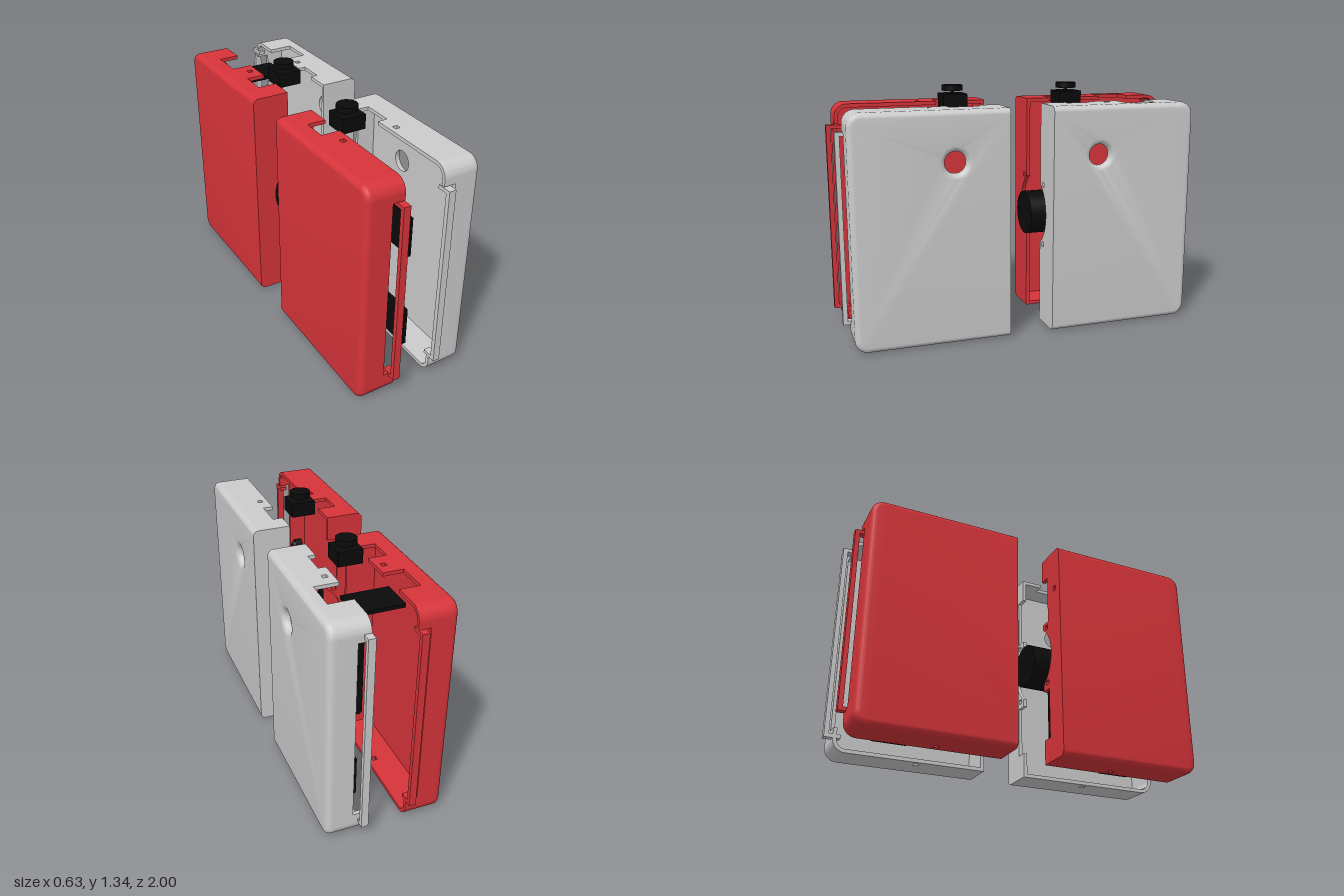
import * as THREE from 'three';
import { toCreasedNormals } from 'three/addons/utils/BufferGeometryUtils.js';

const grey = new THREE.MeshStandardMaterial({ color: 0xcccccc });
const red = new THREE.MeshStandardMaterial({ color: 0xd6343a });
const black = new THREE.MeshStandardMaterial({ color: 0x0a0a0a });

const XI = 0.11, XW = 0.275;        // open rim and back of the side panel
const Y0 = 0.005, Y1 = 1.245;       // height range of a shell
const T = 0.02, R = 0.07, B = 0.03; // wall, corner radius, edge fillet

function add(parent, name, geo, mat, x = 0, y = 0, z = 0) {
  const m = new THREE.Mesh(geo, mat);
  m.name = name;
  m.position.set(x, y, z);
  parent.add(m);
  return m;
}

// box given by its ranges
function box(parent, name, mat, x0, x1, y0, y1, z0, z1) {
  return add(parent, name, new THREE.BoxGeometry(x1 - x0, y1 - y0, z1 - z0), mat,
    (x0 + x1) / 2, (y0 + y1) / 2, (z0 + z1) / 2);
}

function cyl(parent, name, r, h, x, y, z, axis) {
  const g = new THREE.CylinderGeometry(r, r, h, 40);
  if (axis === 'z') g.rotateX(Math.PI / 2);
  if (axis === 'x') g.rotateZ(Math.PI / 2);
  return add(parent, name, g, black, x, y, z);
}

const extrude = (shape, depth) =>
  new THREE.ExtrudeGeometry(shape, { depth, bevelEnabled: false, curveSegments: 16 });

function squareHole(shape, x, y, s = 0.014) {
  shape.holes.push(new THREE.Path([[-s, -s], [s, -s], [s, s], [-s, s]]
    .map(([a, b]) => new THREE.Vector2(x + a, y + b))));
}

function roundHole(shape, x, y, r) {
  shape.holes.push(new THREE.Path().absarc(x, y, r, 0, Math.PI * 2, true));
}

// wall outline with cut-outs in its open edge; a cut-out is a list of [x, along] from high to low
function wallShape(lo, hi, cuts = []) {
  const pts = [[XW, lo], [XW, hi], [XI, hi], ...cuts.flat(), [XI, lo]];
  return new THREE.Shape(pts.map(([a, b]) => new THREE.Vector2(a, b)));
}
const notch = (lo, hi, x) => [[XI, hi], [x, hi], [x, lo], [XI, lo]];

function arcCut(cy, r) {
  const end = Math.acos(XI / r);
  return Array.from({ length: 25 }, (_, i) => {
    const t = end * (1 - i / 12);
    return [r * Math.cos(t), cy + r * Math.sin(t)];
  });
}

// side panel with filleted outer edge, square at the inner end
function panelGeometry(z0, z1, portHole) {
  const r = R - B, a = -z1 + B, lo = Y0 + B, hi = Y1 - B;
  const s = new THREE.Shape();
  s.moveTo(-z0, lo);
  s.lineTo(-z0, hi);
  s.lineTo(a + r, hi);
  s.absarc(a + r, hi - r, r, Math.PI / 2, Math.PI, false);
  s.lineTo(a, lo + r);
  s.absarc(a + r, lo + r, r, Math.PI, Math.PI * 1.5, false);
  if (portHole) roundHole(s, -0.4, 0.975, 0.058 + B);
  const g = new THREE.ExtrudeGeometry(s, {
    depth: 0.01, bevelSize: B, bevelThickness: B, bevelSegments: 6, curveSegments: 20,
  });
  const p = g.attributes.position;
  for (let i = 0; i < p.count; i++) {
    p.setX(i, Math.min(p.getX(i), -z0));
    p.setZ(i, Math.max(p.getZ(i), 0));
  }
  g.computeVertexNormals();
  return toCreasedNormals(g.rotateY(Math.PI / 2), 0.6);
}

// half case, built towards +x and +z and mirrored into place
function shell(name, mat, o) {
  const g = new THREE.Group();
  g.name = name;
  const { z0, z1 } = o;
  add(g, 'sidePanel', panelGeometry(z0, z1, o.portHole), mat, XW);

  // top and bottom walls
  const top = wallShape(z0, z1 - R, o.topCuts);
  const bottom = wallShape(z0, z1 - R);
  for (const [label, s, y] of [['topWall', top, Y1], ['bottomWall', bottom, Y0 + T]]) {
    squareHole(s, 0.152, 0.5);
    add(g, label, extrude(s, T).rotateX(Math.PI / 2), mat, 0, y);
  }

  // rounded corners at the outer end
  for (const up of [1, -1]) {
    const q = new THREE.Shape();
    const a0 = up > 0 ? Math.PI / 2 : Math.PI, a1 = a0 + Math.PI / 2;
    q.absarc(0, 0, R, a0, a1, false);
    q.absarc(0, 0, R - T, a1, a0, true);
    add(g, 'cornerWall', toCreasedNormals(extrude(q, XW - XI).rotateY(Math.PI / 2), 0.6), mat,
      XI, up > 0 ? Y1 - R : Y0 + R, z1 - R);
  }

  // outer end wall with a long slot, and the rail standing off it
  const end = wallShape(Y0 + R, Y1 - R, [notch(0.13, 1.14, 0.175)]);
  add(g, 'endWall', extrude(end, T), mat, 0, 0, z1 - T);
  const [ra, rb] = o.rail;
  box(g, 'rail', mat, XI, 0.148, ra, rb, o.railEnd - 0.025, o.railEnd);
  for (const y of [ra, rb - 0.02])
    box(g, 'railFoot', mat, XI, 0.148, y, y + 0.02, z1 - 0.04, o.railEnd - 0.01);

  // inner wall with the driver opening
  const inner = wallShape(Y0, Y1, o.openings
    ? [notch(0.83, 1.11, 0.172), arcCut(0.63, 0.2), notch(0.14, 0.42, 0.172)]
    : [arcCut(0.63, 0.2)]);
  squareHole(inner, 0.154, 0.799, 0.013);
  squareHole(inner, 0.154, 0.461, 0.013);
  if (o.cableHole) roundHole(inner, 0.255, 1.0, 0.018);
  add(g, 'innerWall', extrude(inner, T), mat, 0, 0, z0);
  return g;
}

// push button with square body
function button(g) {
  box(g, 'buttonBody', black, -0.095, 0.04, 1.22, 1.3, 0.265, 0.395);
  cyl(g, 'buttonStem', 0.01, 0.03, -0.03, 1.31, 0.33);
  cyl(g, 'buttonCap', 0.056, 0.03, -0.03, 1.33, 0.33);
}

// round driver on a mounting plate with corner holes
function driver(g, dz) {
  cyl(g, 'driverDrum', 0.122, 0.225, -0.01, 0.613, 0.1725 + dz, 'z');
  const s = new THREE.Shape();
  const x0 = -0.155, x1 = 0.135, y0 = 0.22, y1 = 0.745, r = 0.02;
  s.absarc(x1 - r, y1 - r, r, 0, Math.PI / 2);
  s.absarc(x0 + r, y1 - r, r, Math.PI / 2, Math.PI);
  s.absarc(x0 + r, y0 + r, r, Math.PI, Math.PI * 1.5);
  s.absarc(x1 - r, y0 + r, r, Math.PI * 1.5, Math.PI * 2);
  for (const x of [-0.112, 0.092]) for (const y of [0.252, 0.712]) roundHole(s, x, y, 0.018);
  add(g, 'driverPlate', extrude(s, 0.02), black, 0, 0, 0.28 + dz);
  cyl(g, 'driverMagnet', 0.065, 0.09, -0.03, 0.613, 0.34 + dz, 'z');
  cyl(g, 'driverCap', 0.03, 0.04, -0.03, 0.613, 0.4 + dz, 'z');
}

// indicator lamp with two leads
function lamp(g) {
  cyl(g, 'lampBase', 0.037, 0.04, -0.04, 0.982, 0.4, 'x').scale.z = 0.75;
  const dome = add(g, 'lampDome', new THREE.SphereGeometry(0.032, 24, 16), black, -0.03, 0.982, 0.4);
  dome.scale.z = 0.8;
  for (const z of [0.385, 0.41])
    box(g, 'lampLead', black, -0.037, -0.03, 0.8, 0.96, z, z + 0.007);
}

// small circuit boards standing by the side panel
function boards(g) {
  box(g, 'lowerBoard', black, 0.075, 0.095, 0.08, 0.31, 0.575, 0.765);
  box(g, 'upperBoard', black, 0.088, 0.1, 0.64, 0.87, 0.59, 0.75);
  box(g, 'boardChip', black, 0.1, 0.118, 0.68, 0.83, 0.635, 0.7);
}

export function createModel() {
  const model = new THREE.Group();
  model.name = 'twinCases';
  const knob = (lo, hi, x) => notch(lo, hi, x);

  // four half cases: side, end, offset and cut-outs
  const place = (s, sx, sz, x, y) => {
    s.scale.set(sx, 1, sz);
    s.position.set(x, y, 0);
    model.add(s);
  };
  place(shell('frontLeftShell', grey, {
    z0: 0.11, z1: 0.945, portHole: true, openings: true, rail: [0.115, 1.135], railEnd: 0.985,
    topCuts: [knob(0.23, 0.4, 0.165)],
  }), 1, 1, 0, 0);
  place(shell('frontRightShell', red, {
    z0: 0.125, z1: 0.955, openings: true, cableHole: true, rail: [0.115, 1.135], railEnd: 1.0,
    topCuts: [knob(0.265, 0.4, 0.212)],
  }), -1, 1, -0.005, 0.006);
  place(shell('backLeftShell', grey, {
    z0: 0.13, z1: 0.955, portHole: true, rail: [0.075, 1.18], railEnd: 1.0,
    topCuts: [knob(0.58, 0.755, 0.24), knob(0.27, 0.41, 0.15)],
  }), 1, -1, 0, 0);
  place(shell('backRightShell', red, {
    z0: 0.13, z1: 0.96, rail: [0.12, 1.14], railEnd: 1.0,
    topCuts: [knob(0.58, 0.755, 0.22), knob(0.27, 0.41, 0.212)],
  }), -1, -1, -0.005, 0.006);

  // electronics inside each case
  for (const [name, sz, dz] of [['frontElectronics', 1, 0], ['backElectronics', -1, 0.018]]) {
    const g = new THREE.Group();
    g.name = name;
    button(g);
    driver(g, dz);
    lamp(g);
    boards(g);
    if (sz < 0) box(g, 'controlBoard', black, -0.155, 0.1, 1.147, 1.167, 0.57, 0.755);
    g.scale.z = sz;
    model.add(g);
  }
  return model;
}
